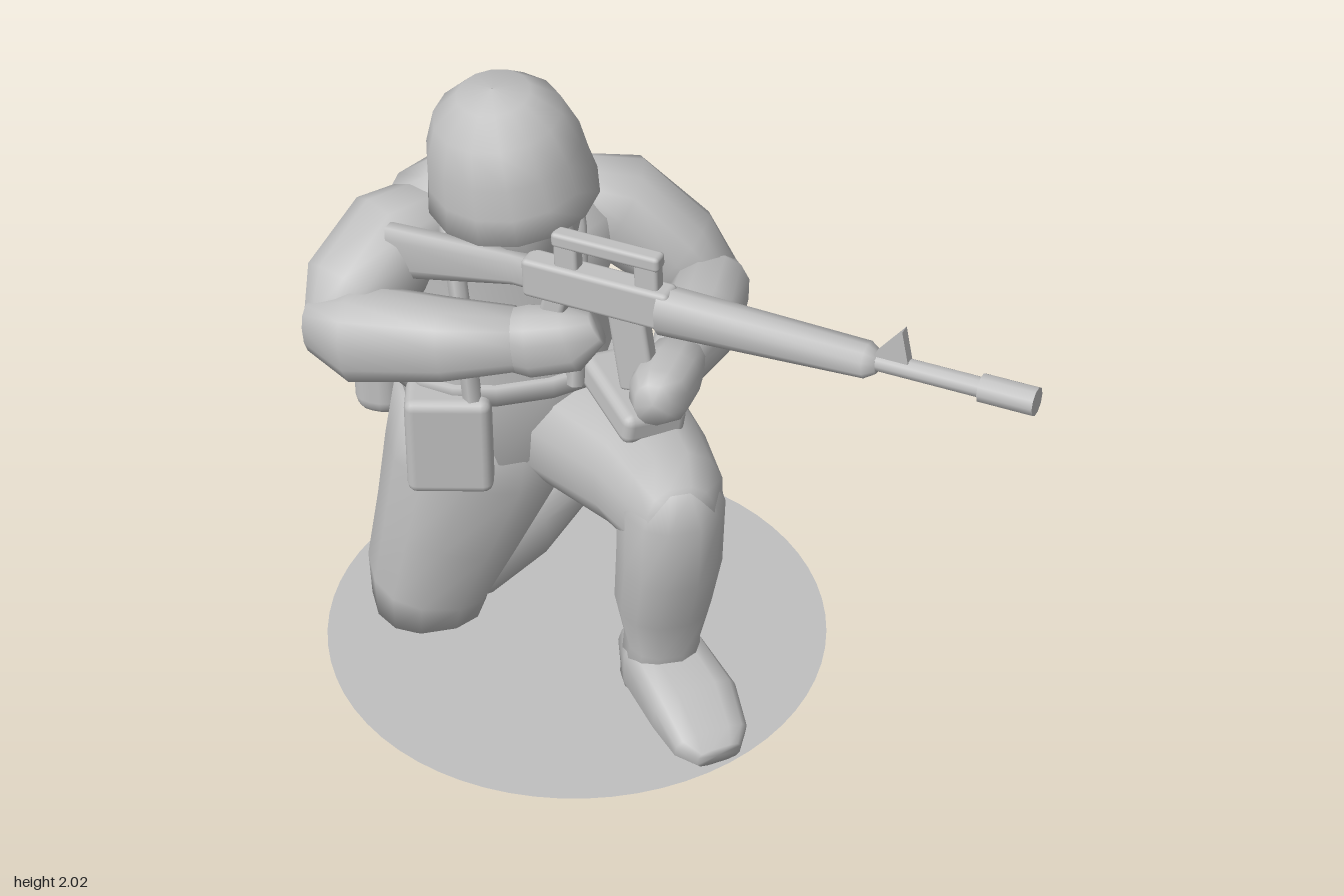
import * as THREE from 'three';
import { RoundedBoxGeometry } from 'three/addons/geometries/RoundedBoxGeometry.js';

const V = (x, y, z) => new THREE.Vector3(x, y, z);
const UP = V(0, 1, 0), FRONT = V(0, 0, 1);

// Skin over elliptical sections [x, y, z, width radius, height/depth radius];
// square < 1 makes the ellipse boxier.
function loftGeometry(sections, ref, n, square) {
  const pos = [], index = [], last = sections.length - 1;
  const centre = sections.map(s => V(s[0], s[1], s[2]));
  const bend = c => Math.sign(c) * Math.pow(Math.abs(c), square);
  sections.forEach((s, k) => {
    const t = centre[Math.min(k + 1, last)].clone().sub(centre[Math.max(k - 1, 0)]).normalize();
    const u = ref.clone().cross(t).normalize();
    const v = t.clone().cross(u);
    for (let j = 0; j < n; j++) {
      const a = (j + 0.5) / n * Math.PI * 2;
      const p = centre[k].clone().addScaledVector(u, s[3] * bend(Math.cos(a)))
        .addScaledVector(v, s[4] * bend(Math.sin(a)));
      pos.push(p.x, p.y, p.z);
    }
  });
  const end = (last + 1) * n;
  pos.push(...centre[0].toArray(), ...centre[last].toArray());
  for (let j = 0; j < n; j++) {
    const i = (j + 1) % n;
    for (let k = 0; k < last; k++) {
      const a = k * n, b = a + n;
      index.push(a + j, a + i, b + i, a + j, b + i, b + j);
    }
    index.push(end, i, j, end + 1, last * n + j, last * n + i);
  }
  const g = new THREE.BufferGeometry();
  g.setAttribute('position', new THREE.Float32BufferAttribute(pos, 3));
  g.setIndex(index);
  g.computeVertexNormals();
  return g;
}

export function createModel() {
  const model = new THREE.Group();
  model.name = 'kneelingSoldier';
  const grey = new THREE.MeshStandardMaterial({ color: 0xc0c0c0, side: THREE.DoubleSide });
  grey.name = 'grey plastic';

  const add = (name, geometry, parent = model) => {
    const mesh = new THREE.Mesh(geometry, grey);
    mesh.name = name;
    parent.add(mesh);
    return mesh;
  };
  const loft = (name, sections, ref = UP, parent = model, n = 12, square = 0.85) =>
    add(name, loftGeometry(sections, ref, n, square), parent);
  const block = (name, size, at, rot = [0, 0, 0], parent = model, r = 0.03) => {
    const m = add(name, new RoundedBoxGeometry(...size, 2, Math.min(r, Math.min(...size) * 0.45)), parent);
    m.position.set(...at);
    m.rotation.set(...rot);
    return m;
  };

  // Base disc
  const base = add('base', new THREE.CircleGeometry(0.762, 64).rotateX(-Math.PI / 2));
  base.position.set(-0.1, 0.006, -0.225);

  // Torso and pelvis
  loft('torso', [
    [-0.25, 0.53, -0.42, 0.16, 0.13], [-0.25, 0.7, -0.42, 0.31, 0.24],
    [-0.26, 0.95, -0.42, 0.32, 0.26], [-0.27, 1.15, -0.45, 0.29, 0.245],
    [-0.26, 1.35, -0.43, 0.35, 0.235], [-0.25, 1.48, -0.42, 0.33, 0.2],
    [-0.25, 1.55, -0.39, 0.23, 0.15], [-0.25, 1.6, -0.32, 0.11, 0.11]
  ], FRONT, model, 16);
  loft('belt', [[-0.26, 0.92, -0.42, 0.335, 0.275], [-0.26, 0.98, -0.425, 0.335, 0.275]], FRONT, model, 16);

  // Suspender straps
  for (const s of [-1, 1]) {
    const path = [[0.15, 0.97, -0.17], [0.17, 1.3, -0.2], [0.18, 1.52, -0.3],
      [0.16, 1.5, -0.55], [0.08, 1.28, -0.68], [0.06, 0.97, -0.7]]
      .map(p => V(-0.26 + s * p[0], p[1], p[2]));
    add('suspender', new THREE.TubeGeometry(new THREE.CatmullRomCurve3(path), 20, 0.028, 6));
  }

  // Forward bent leg
  loft('leftThigh', [
    [-0.12, 0.73, -0.56, 0.17, 0.2], [-0.02, 0.745, -0.27, 0.25, 0.205],
    [0.07, 0.75, 0, 0.185, 0.185], [0.09, 0.765, 0.18, 0.155, 0.165], [0.09, 0.78, 0.28, 0.1, 0.11]
  ]);
  loft('leftShin', [
    [0.09, 0.88, 0.18, 0.09, 0.09], [0.09, 0.78, 0.165, 0.15, 0.16], [0.09, 0.55, 0.15, 0.15, 0.15],
    [0.08, 0.36, 0.12, 0.14, 0.125], [0.08, 0.22, 0.115, 0.11, 0.11], [0.08, 0.05, 0.1, 0.12, 0.1]
  ], FRONT);
  loft('leftBoot', [
    [0.06, 0.09, 0, 0.09, 0.08], [0.08, 0.11, 0.1, 0.125, 0.11],
    [0.13, 0.085, 0.3, 0.135, 0.085], [0.15, 0.05, 0.42, 0.115, 0.05], [0.16, 0.04, 0.475, 0.07, 0.035]
  ], UP, model, 12, 0.6);

  // Kneeling leg
  loft('rightThigh', [
    [-0.33, 0.82, -0.41, 0.26, 0.23], [-0.36, 0.6, -0.4, 0.275, 0.22],
    [-0.44, 0.35, -0.42, 0.23, 0.2], [-0.51, 0.12, -0.45, 0.19, 0.19], [-0.52, 0, -0.45, 0.17, 0.17]
  ], FRONT);
  loft('rightShin', [
    [-0.58, 0.13, -0.42, 0.13, 0.12], [-0.4, 0.17, -0.49, 0.18, 0.165], [-0.2, 0.2, -0.57, 0.15, 0.15],
    [-0.03, 0.235, -0.65, 0.1, 0.1], [0.15, 0.25, -0.73, 0.1, 0.11]
  ]);
  const boot = loft('rightBoot', [
    [0, 0.4, 0.06, 0.07, 0.06], [0, 0.33, 0.04, 0.1, 0.12], [0, 0.18, 0, 0.105, 0.12],
    [0, 0.06, -0.05, 0.1, 0.09], [0, 0, -0.07, 0.08, 0.06]
  ], FRONT);
  boot.position.set(0.17, 0, -0.75);
  boot.rotation.y = -0.5;

  // Right arm at the pistol grip
  loft('rightUpperArm', [
    [-0.42, 1.43, -0.43, 0.13, 0.12], [-0.58, 1.41, -0.37, 0.155, 0.145],
    [-0.72, 1.31, -0.28, 0.145, 0.14], [-0.8, 1.24, -0.21, 0.08, 0.08]
  ]);
  loft('rightForearm', [
    [-0.84, 1.25, -0.25, 0.06, 0.08], [-0.73, 1.26, -0.17, 0.13, 0.135],
    [-0.5, 1.29, -0.04, 0.11, 0.115], [-0.32, 1.31, 0.03, 0.085, 0.09]
  ]);
  loft('rightHand', [
    [-0.38, 1.3, 0, 0.07, 0.075], [-0.28, 1.31, 0.05, 0.085, 0.105],
    [-0.18, 1.33, 0.09, 0.07, 0.1], [-0.11, 1.37, 0.11, 0.04, 0.05]
  ]);

  // Left arm supporting the rifle
  loft('leftUpperArm', [
    [-0.06, 1.43, -0.44, 0.12, 0.12], [0.08, 1.39, -0.42, 0.15, 0.15],
    [0.24, 1.26, -0.34, 0.13, 0.135], [0.34, 1.17, -0.27, 0.08, 0.08]
  ]);
  loft('leftForearm', [
    [0.35, 1.17, -0.36, 0.06, 0.06], [0.31, 1.19, -0.24, 0.11, 0.1],
    [0.22, 1.23, -0.03, 0.115, 0.11], [0.1, 1.26, 0.17, 0.08, 0.08]
  ]);
  loft('leftHand', [
    [0.13, 1.26, 0.13, 0.07, 0.07], [0.06, 1.27, 0.24, 0.09, 0.085],
    [0.01, 1.27, 0.32, 0.085, 0.085], [-0.02, 1.28, 0.37, 0.05, 0.06]
  ]);

  // Head, turned along the rifle
  const head = new THREE.Group();
  head.name = 'head';
  head.position.set(-0.25, 0, -0.16);
  head.rotation.y = 0.45;
  model.add(head);
  loft('face', [
    [0, 1.46, 0.07, 0.06, 0.05], [0, 1.52, 0.04, 0.115, 0.125], [0, 1.62, 0.01, 0.145, 0.165],
    [0, 1.74, 0, 0.165, 0.185], [0, 1.84, 0, 0.12, 0.14]
  ], FRONT, head);
  loft('nose', [[0, 1.68, 0.16, 0.015, 0.02], [0, 1.61, 0.185, 0.025, 0.03], [0, 1.58, 0.17, 0.02, 0.02]], FRONT, head, 6);
  loft('neck', [[0, 1.45, -0.15, 0.14, 0.13], [0, 1.68, -0.07, 0.12, 0.13]], FRONT, head);

  // Helmet with a flared rim
  const profile = [[0.2, -0.03], [0.238, -0.045], [0.224, 0.03], [0.212, 0.12],
    [0.175, 0.22], [0.1, 0.285], [0.001, 0.3]].map(p => new THREE.Vector2(...p));
  const helmet = add('helmet', new THREE.LatheGeometry(profile, 14));
  helmet.scale.z = 1.07;
  helmet.position.set(-0.28, 1.7, -0.18);
  helmet.rotation.set(0, 0.25, 0.16);

  // Belt equipment
  block('backPouch', [0.29, 0.44, 0.22], [-0.06, 0.755, -0.69], [0, -0.3, 0], model, 0.06);
  block('canteen', [0.15, 0.35, 0.22], [-0.59, 0.85, -0.61], [0, -0.5, 0], model, 0.06);
  block('hipPouch', [0.25, 0.33, 0.15], [-0.47, 0.81, -0.22], [0, -0.25, 0]);
  block('frontPouch', [0.2, 0.1, 0.32], [0.04, 0.965, -0.09], [0.1, 0.2, -0.12]);
  loft('scabbard', [
    [0.15, 0.86, -0.52, 0.035, 0.04], [0.16, 0.65, -0.52, 0.035, 0.045], [0.17, 0.63, -0.51, 0.045, 0.075],
    [0.17, 0.58, -0.51, 0.04, 0.065], [0.18, 0.2, -0.51, 0.03, 0.04], [0.18, 0.01, -0.51, 0.025, 0.035]
  ], FRONT, model, 8);

  // Rifle, laid along local +x from butt to muzzle
  const rifle = new THREE.Group();
  rifle.name = 'rifle';
  rifle.position.set(-0.6, 1.5, -0.27);
  rifle.rotation.set(0, -0.7, 0.035);
  model.add(rifle);
  loft('stock', [[0, -0.05, 0, 0.03, 0.085], [0.38, 0, 0, 0.032, 0.05], [0.46, 0, 0, 0.035, 0.05]], UP, rifle, 8, 0.6);
  block('receiver', [0.44, 0.12, 0.075], [0.64, -0.005, 0], [0, 0, 0], rifle, 0.015);
  block('carryHandle', [0.32, 0.045, 0.05], [0.67, 0.135, 0], [0, 0, 0], rifle, 0.012);
  for (const x of [0.55, 0.79]) block('handlePost', [0.07, 0.1, 0.045], [x, 0.085, 0], [0, 0, 0], rifle, 0.01);
  block('pistolGrip', [0.07, 0.18, 0.05], [0.49, -0.13, 0], [0, 0, -0.3], rifle, 0.015);
  block('magazine', [0.11, 0.26, 0.05], [0.74, -0.17, 0], [0, 0, 0.12], rifle, 0.012);
  loft('handguard', [[0.83, -0.015, 0, 0.062, 0.068], [1.42, -0.005, 0, 0.048, 0.048], [1.45, -0.005, 0, 0.03, 0.03]], UP, rifle, 10);
  const barrel = (name, r, length, x) => {
    const m = add(name, new THREE.CylinderGeometry(r, r, length, 10).rotateZ(Math.PI / 2), rifle);
    m.position.x = x;
  };
  barrel('barrel', 0.028, 0.4, 1.6);
  barrel('muzzle', 0.039, 0.15, 1.81);
  const sight = new THREE.Shape([[1.43, 0.01], [1.54, 0.01], [1.52, 0.12]].map(p => new THREE.Vector2(...p)));
  add('frontSight', new THREE.ExtrudeGeometry(sight, { depth: 0.03, bevelEnabled: false }).translate(0, 0, -0.015), rifle);

  return model;
}
